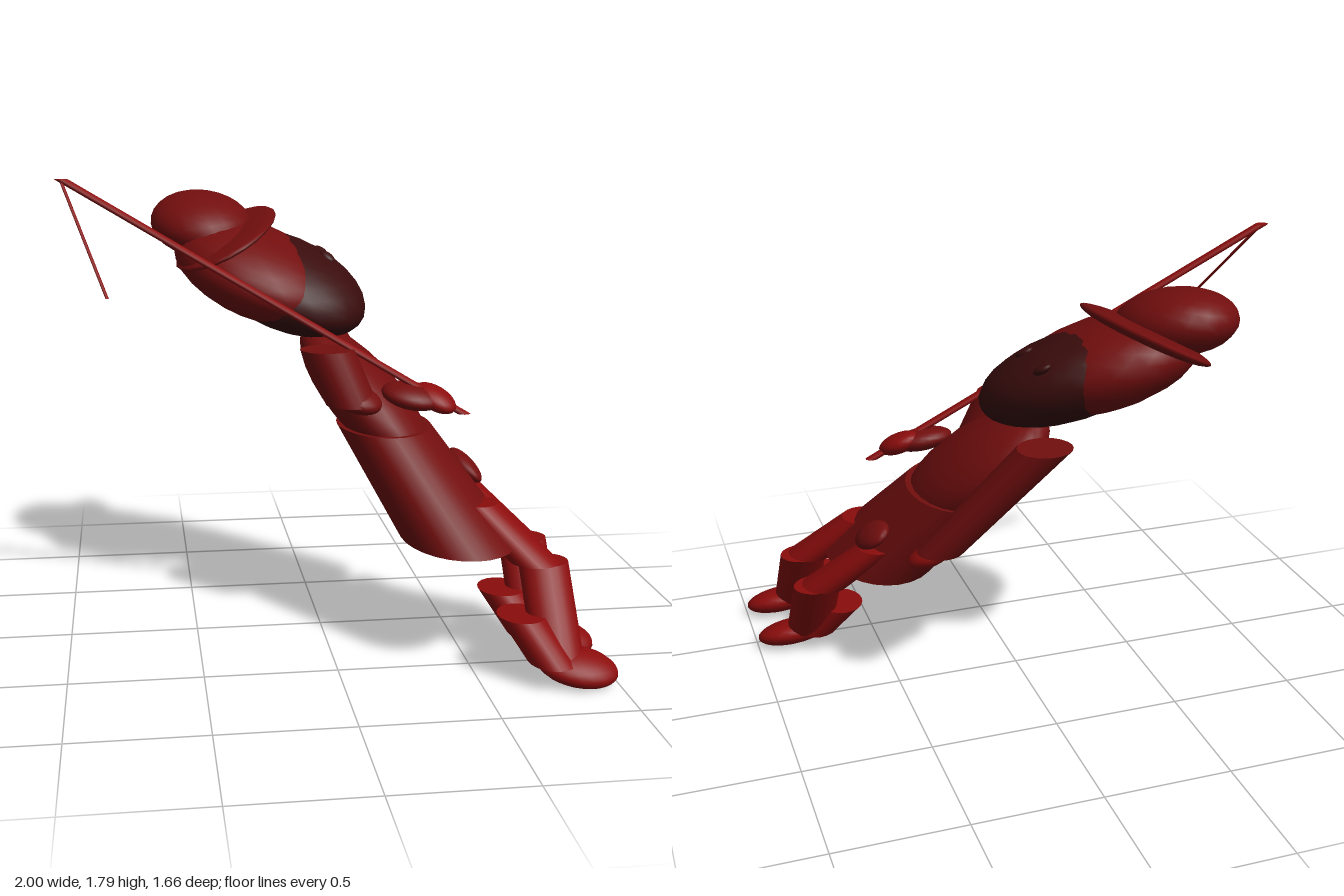
import * as THREE from 'three';

const mat = (name, color) => {
  const m = new THREE.MeshStandardMaterial({ color });
  m.name = name;
  return m;
};

export function createModel() {
  const robe = mat('deep red cloth', 0x720e0e);
  const bright = mat('bright red', 0x8b0c0c);
  const dark = mat('dark face', 0x3a0c0c);
  const model = new THREE.Group();
  model.name = 'leaningAngler';

  // The whole figure leans: up is sheared towards -x and -z.
  const LX = -0.65, LZ = -0.66;
  const V = (a) => new THREE.Vector3(...a);

  // Places a unit geometry on three free axis vectors, so it may be sheared.
  function place(name, geo, material, c, u, v, w) {
    const m = new THREE.Matrix4().makeBasis(V(u), V(v), V(w)).setPosition(...c);
    const mesh = new THREE.Mesh(geo.applyMatrix4(m), material);
    mesh.name = name;
    model.add(mesh);
    return mesh;
  }
  const ball = () => new THREE.SphereGeometry(1, 22, 14);

  // Leaning ellipsoid with centre c and radii r.
  function blob(name, material, c, [rx, ry, rz]) {
    return place(name, ball(), material, c, [rx, 0, 0], [LX * ry, ry, LZ * ry], [0, 0, rz]);
  }

  // Level-ended slanted cylinder from bottom to top; ratio scales the top.
  function limb(name, material, bottom, top, rx, rz, ratio = 1, sides = 20) {
    const a = V(bottom), b = V(top);
    const mid = a.clone().add(b).multiplyScalar(0.5).toArray();
    const geo = new THREE.CylinderGeometry(ratio, 1, 1, sides);
    return place(name, geo, material, mid, [rx, 0, 0], b.sub(a).toArray(), [0, 0, rz]);
  }

  // Head, hair and eyes
  blob('face', dark, [-0.11, 1.365, -0.32], [0.3, 0.21, 0.28]);
  blob('hair', robe, [-0.22, 1.41, -0.35], [0.3, 0.21, 0.32]);
  for (const z of [-0.305, -0.5]) blob('eye', dark, [0.07, 1.465, z], [0.025, 0.024, 0.025]);

  // Bowler hat, tilted back
  place('hatBrim', ball(), robe, [-0.335, 1.535, -0.44],
    [0.205, 0.11, -0.06], [-0.02, 0.03, -0.02], [0.02, -0.02, 0.38]);
  place('hatCrown', ball(), robe, [-0.43, 1.59, -0.5],
    [0.2, 0.03, 0], [-0.06, 0.13, -0.08], [0, 0, 0.23]);

  // Coat
  blob('torso', robe, [0.19, 0.93, -0.05], [0.175, 0.27, 0.28]);
  limb('skirt', robe, [0.49, 0.455, 0.31], [0.25, 0.84, 0.015], 0.22, 0.33, 0.84, 28);
  blob('frontPouch', robe, [0.58, 0.66, 0.04], [0.045, 0.06, 0.095]);

  // Bent arm holding the rod
  limb('bentUpperSleeve', robe, [0.1, 0.95, 0.17], [0.01, 1.16, 0.13], 0.1, 0.1, 1.05);
  blob('elbow', robe, [0.11, 0.975, 0.16], [0.1, 0.06, 0.1]);
  blob('forearm', robe, [0.33, 0.98, 0.18], [0.11, 0.052, 0.085]);
  blob('rodHand', bright, [0.42, 0.97, 0.19], [0.07, 0.055, 0.07]);

  // Hanging arm
  limb('hangingSleeve', robe, [0.38, 0.69, -0.24], [0.05, 1.16, -0.48], 0.09, 0.085, 1.15);
  blob('hangingHand', bright, [0.42, 0.665, -0.22], [0.07, 0.055, 0.07]);

  // Legs, one set for each side
  for (const dz of [0, -0.3]) {
    limb('thigh', bright, [0.745, 0.4, 0.495 + dz], [0.55, 0.6, 0.36 + dz], 0.095, 0.1, 0.85);
    limb('shin', bright, [0.785, 0.09, 0.71 + dz], [0.78, 0.4, 0.49 + dz], 0.095, 0.085);
    limb('bootCuff', bright, [0.76, 0.09, 0.715 + dz], [0.665, 0.24, 0.62 + dz], 0.09, 0.11);
    blob('foot', bright, [0.85, 0.07, 0.735 + dz], [0.143, 0.065, 0.09]);
  }

  // Fishing rod and line
  limb('fishingRod', bright, [0.53, 0.91, 0.21], [-0.98, 1.8, -0.065], 0.026, 0.022, 1, 10);
  limb('fishingLine', bright, [-0.815, 1.39, 0.28], [-0.98, 1.795, -0.06], 0.007, 0.007, 1, 6);

  return model;
}
